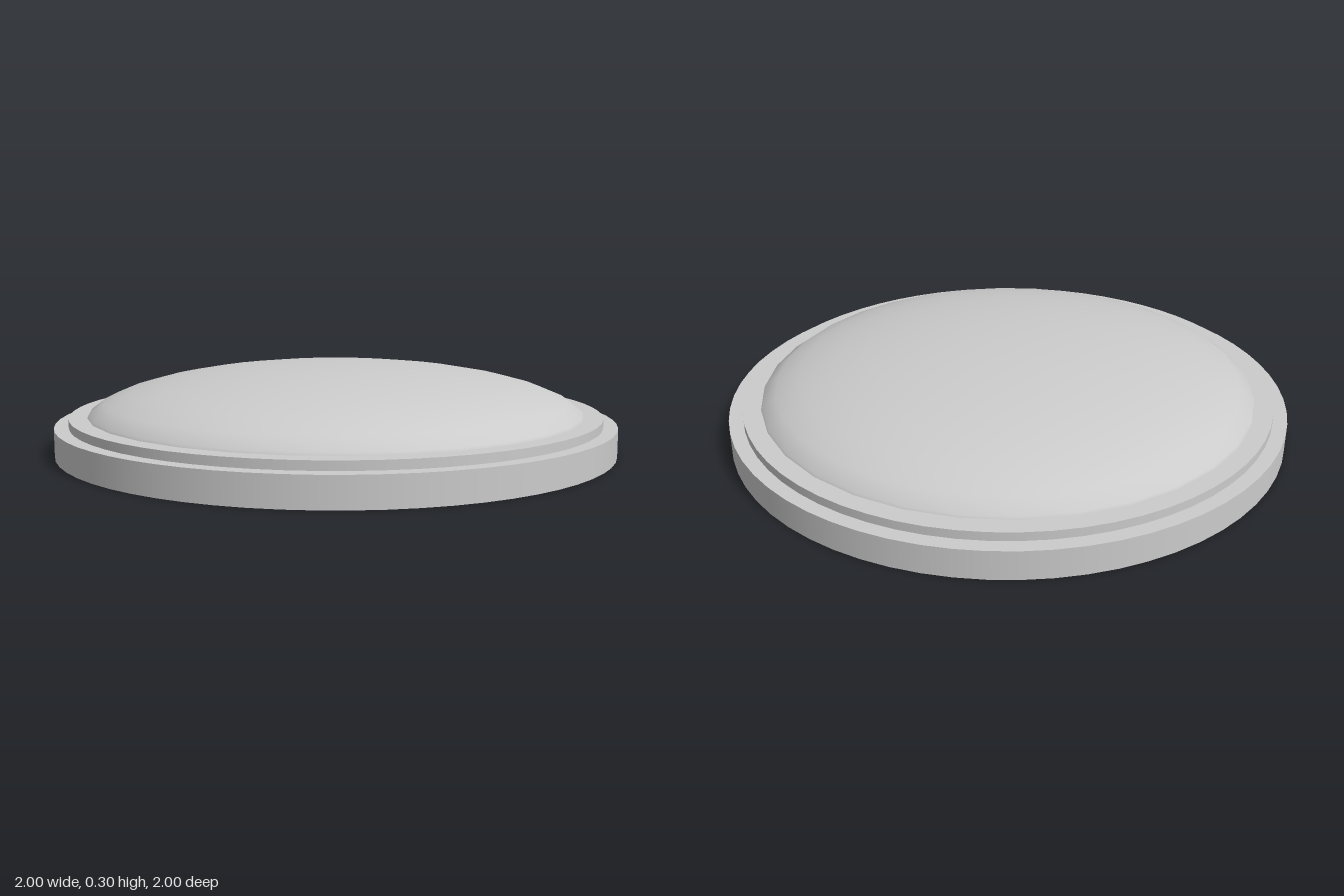
import * as THREE from 'three';

export function createModel() {
  const group = new THREE.Group();
  const material = new THREE.MeshStandardMaterial({ color: 0xcccccc });

  const add = (name, geometry, y) => {
    const mesh = new THREE.Mesh(geometry, material);
    mesh.name = name;
    mesh.position.y = y;
    group.add(mesh);
    return mesh;
  };

  // Stepped round base
  add('basePlate', new THREE.CylinderGeometry(1, 1, 0.1, 64), 0.05);
  add('upperRim', new THREE.CylinderGeometry(0.95, 0.95, 0.03, 64), 0.115);

  // Shallow dome: a flattened hemisphere rising out of the rim
  const dome = new THREE.SphereGeometry(0.9, 32, 8, 0, Math.PI * 2, 0, Math.PI / 2);
  dome.scale(1, 0.2 / 0.9, 1);
  add('dome', dome, 0.1);

  return group;
}
